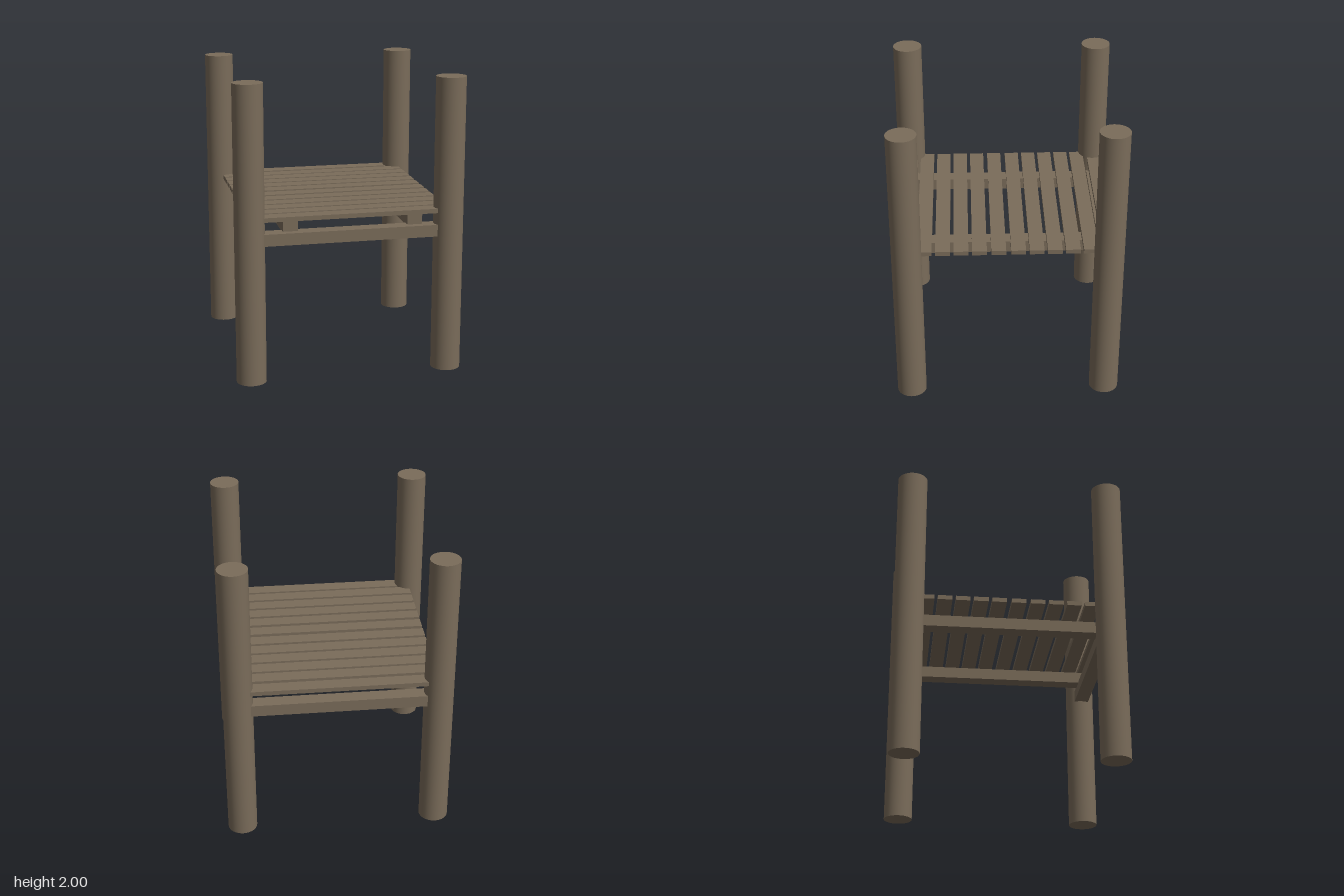
import * as THREE from 'three';

export function createModel() {
  const group = new THREE.Group();
  const wood = new THREE.MeshStandardMaterial({ color: 0x7a6c5a });
  wood.name = 'weathered wood';

  const add = (name, geometry, x, y, z) => {
    const mesh = new THREE.Mesh(geometry, wood);
    mesh.name = name;
    mesh.position.set(x, y, z);
    group.add(mesh);
  };

  const half = 0.67; // post centre distance from the middle

  // Four round corner posts
  const post = new THREE.CylinderGeometry(0.1, 0.1, 2, 32);
  for (const x of [-half, half]) {
    for (const z of [-half, half]) add('cornerPost', post, x, 1, z);
  }

  // Cross beams joining the posts at front and back
  const beam = new THREE.BoxGeometry(2 * half, 0.08, 0.1);
  add('frontBeam', beam, 0, 0.975, half);
  add('backBeam', beam, 0, 0.975, -half - 0.005);

  // Two joists running front to back, stopping short of the back beam
  const joist = new THREE.BoxGeometry(0.1, 0.08, 1.26);
  add('rightJoist', joist, -0.4, 1.045, 0.04);
  add('leftJoist', joist, 0.44, 1.045, 0.04);

  // Deck slats with slightly uneven gaps
  const slat = new THREE.BoxGeometry(2 * half - 0.006, 0.03, 0.098);
  const rows = [0.67, 0.552, 0.431, 0.31, 0.188, 0.061, -0.07, -0.192, -0.312, -0.432, -0.551, -0.678];
  for (const z of rows) add('deckSlat', slat, 0, 1.11, z);

  return group;
}
